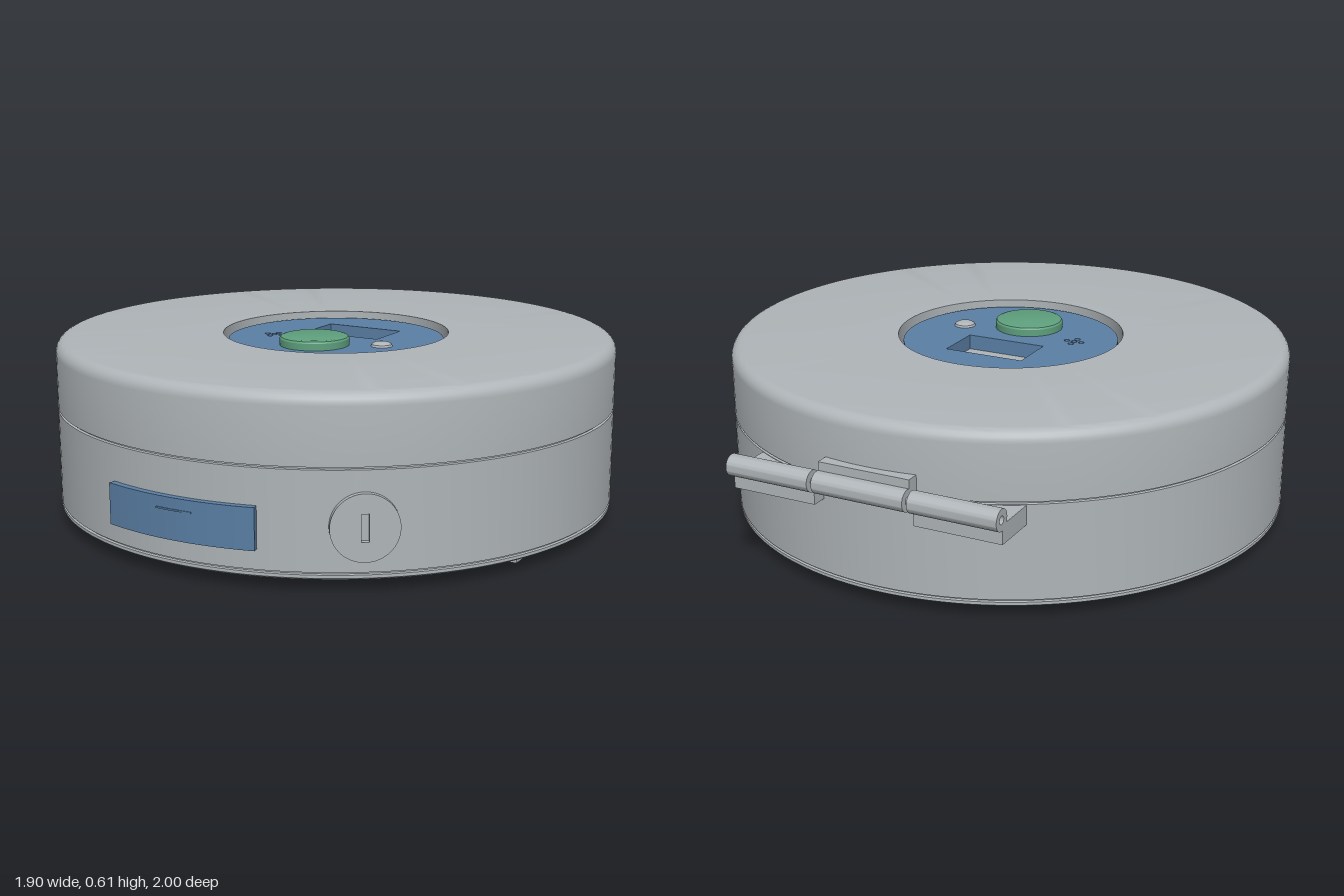
import * as THREE from 'three';
import { toCreasedNormals } from 'three/addons/utils/BufferGeometryUtils.js';

const CZ = 0.025; // centre of the round body along z

const paint = (name, color) => {
  const m = new THREE.MeshStandardMaterial({ color });
  m.name = name;
  return m;
};

export function createModel() {
  const grey = paint('grey casing', 0xafb5b8);
  const dark = paint('dark rubber', 0x58595b);
  const blue = paint('blue panel', 0x5a7fa5);
  const green = paint('green button', 0x5ea07d);
  const model = new THREE.Group();
  model.name = 'roundContainer';

  const add = (name, geo, mat, x = 0, y = 0, z = 0, parent = model) => {
    const mesh = new THREE.Mesh(geo, mat);
    mesh.name = name;
    mesh.position.set(x, y, z);
    parent.add(mesh);
    return mesh;
  };
  const lathe = (pts, seg = 48) => toCreasedNormals(
    new THREE.LatheGeometry(pts.map(p => new THREE.Vector2(p[0], p[1])), seg), 0.55);
  const disc = (r, x = 0, y = 0) => new THREE.Shape().absarc(x, y, r, 0, Math.PI * 2);
  const rect = (x0, y0, x1, y1) => new THREE.Shape().moveTo(x0, y0).lineTo(x1, y0)
    .lineTo(x1, y1).lineTo(x0, y1).closePath();
  const extrude = (shape, holes, depth, curveSegments = 32) => {
    shape.holes.push(...holes);
    return toCreasedNormals(new THREE.ExtrudeGeometry(shape,
      { depth, bevelEnabled: false, curveSegments }), 0.5);
  };

  // Base cover, tub and lid in one turned profile, with seams and a top recess
  const R = 0.95, top = 0.607, round = 0.04;
  const profile = [[0, 0.04], [0.938, 0.04], [R, 0.048], [R, 0.058], [0.942, 0.06], [0.942, 0.064],
    [R, 0.066], [R, 0.378], [0.942, 0.38], [0.942, 0.384], [R, 0.386]];
  for (let i = 0; i <= 6; i++) {
    const a = i / 6 * Math.PI / 2;
    profile.push([R - round + round * Math.cos(a), top - round + round * Math.sin(a)]);
  }
  profile.push([0.385, top], [0.385, 0.535], [0, 0.535]);
  add('body', lathe(profile, 128), grey, 0, 0, CZ);

  // Control panel: lower and upper layers, the upper one pierced by speaker holes
  const panel = new THREE.Group();
  panel.name = 'controlPanel';
  model.add(panel);
  const windowHole = () => rect(-0.14, 0.01, 0.14, 0.18); // shape y is -z
  const layer = (name, holes, depth, y) => {
    const shape = disc(0.368, 0, -CZ);
    add(name, extrude(shape, [windowHole(), ...holes], depth, 96).rotateX(-Math.PI / 2),
      blue, 0, y, 0, panel);
  };
  const speaker = [[0, 0], [1, 0], [-1, 0], [0, 1], [0, -1]]
    .map(([i, j]) => disc(0.01, -0.212 + i * 0.027, -0.085 + j * 0.027));
  layer('panelBase', [], 0.038, 0.535);
  layer('panelFace', speaker, 0.012, 0.573);

  // Push button and indicator lamp
  add('button', lathe([[0, 0], [0.117, 0], [0.117, 0.024], [0.113, 0.03], [0.104, 0.033], [0, 0.033]], 64),
    green, 0, 0.584, 0.17, panel);
  add('indicatorLamp', lathe([[0, 0], [0.037, 0], [0.034, 0.008], [0.024, 0.014], [0, 0.018]], 32),
    grey, 0.21, 0.584, 0.085, panel);

  // Curved front label plate with a thin raised line
  const arcPlate = (name, r0, r1, halfAngle, height, y) => {
    const shape = new THREE.Shape().absarc(0, 0, r1, -Math.PI / 2 - halfAngle, -Math.PI / 2 + halfAngle, false);
    shape.absarc(0, 0, r0, -Math.PI / 2 + halfAngle, -Math.PI / 2 - halfAngle, true);
    add(name, extrude(shape, [], height).rotateX(-Math.PI / 2), blue, 0, y, CZ);
  };
  arcPlate('frontPlate', 0.94, 0.972, 0.275, 0.133, 0.13);
  arcPlate('frontPlateLine', 0.965, 0.975, 0.066, 0.005, 0.223);

  // Round lock with a key slot
  const lock = add('lock', extrude(disc(0.105), [rect(-0.012, -0.043, 0.012, 0.043)], 0.034, 48), grey);
  const turn = 0.611;
  lock.position.set(Math.sin(turn) * 0.935, 0.207, CZ + Math.cos(turn) * 0.935);
  lock.rotation.y = turn;

  // Hinge: three hollow knuckles on a pin, side brackets below, centre bracket above
  const hinge = new THREE.Group();
  hinge.name = 'hinge';
  model.add(hinge);
  const hy = 0.393, hz = -0.965;
  const knuckle = (name, x0, x1) => add(name,
    extrude(disc(0.035), [disc(0.013)], x1 - x0, 24).rotateY(Math.PI / 2), grey, x0, hy, hz, hinge);
  knuckle('centreKnuckle', -0.157, 0.157);
  knuckle('rightKnuckle', -0.465, -0.172);
  knuckle('leftKnuckle', 0.172, 0.465);
  add('hingePin', new THREE.CylinderGeometry(0.013, 0.013, 0.9, 20).rotateZ(Math.PI / 2), grey, 0, hy, hz, hinge);
  for (const s of [-1, 1]) {
    add('sideBracket', new THREE.BoxGeometry(0.293, 0.063, 0.2), grey, s * 0.3185, 0.3445, -0.86, hinge);
  }
  add('centreBracket', new THREE.BoxGeometry(0.314, 0.07, 0.075), grey, 0, 0.42, -0.9175, hinge);

  // Rubber feet and mounting strips under the base
  const foot = lathe([[0, 0.003], [0.05, 0.003], [0.06, 0.008], [0.064, 0.017], [0.064, 0.03], [0.058, 0.041]], 32);
  for (const sx of [-1, 1]) {
    for (const sz of [-1, 1]) add('foot', foot, dark, sx * 0.525, 0, CZ + sz * 0.525);
    add('mountingStrip', new THREE.BoxGeometry(0.235, 0.03, 0.66), grey, sx * 0.7175, 0.026, 0.03);
  }
  return model;
}
